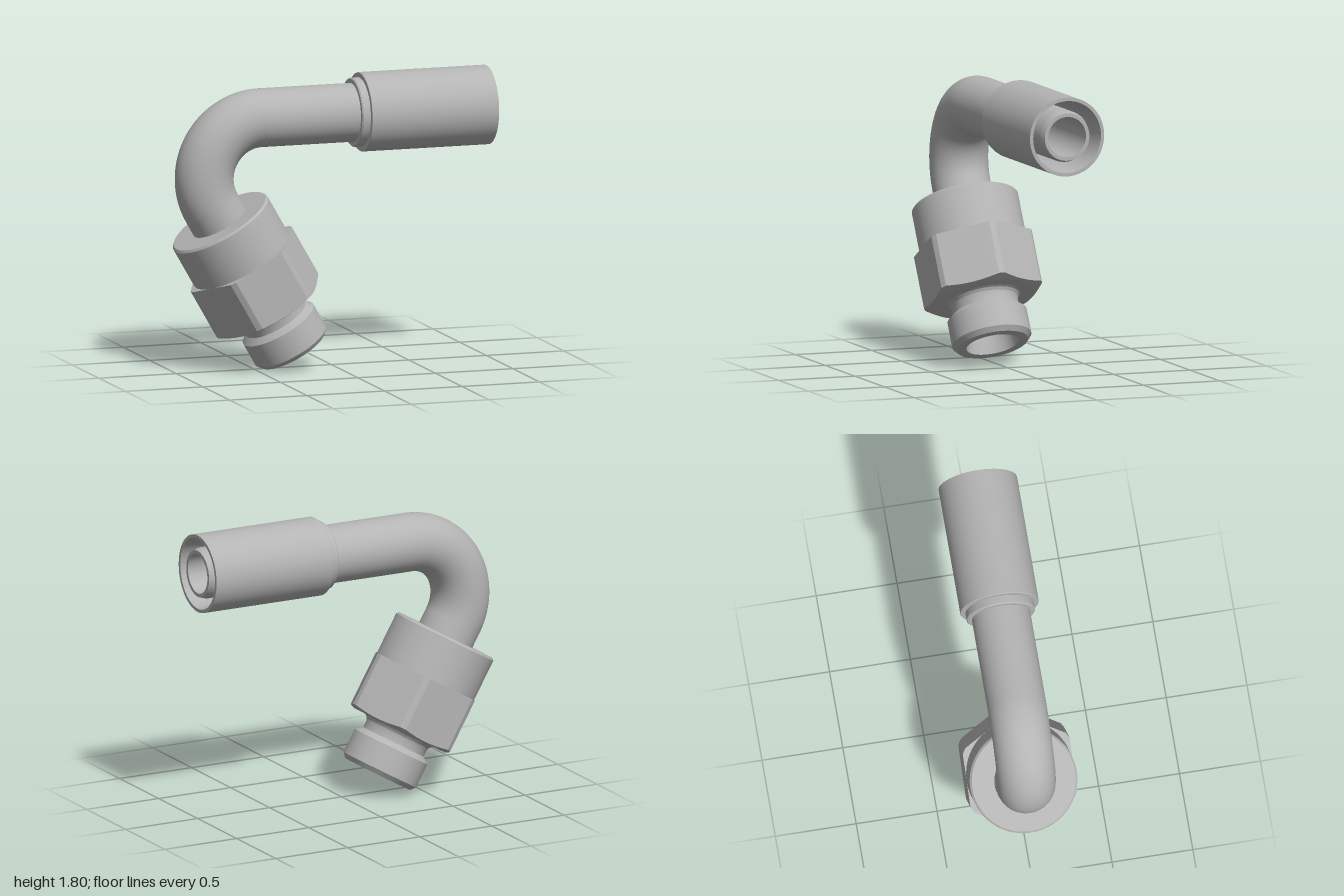
import * as THREE from 'three';
import { toCreasedNormals } from 'three/addons/utils/BufferGeometryUtils.js';

export function createModel() {
  const model = new THREE.Group();
  const steel = new THREE.MeshStandardMaterial({ color: 0xb4b4b4, side: THREE.DoubleSide });
  steel.name = 'steel';

  const add = (parent, name, geometry) => {
    const mesh = new THREE.Mesh(geometry, steel);
    mesh.name = name;
    parent.add(mesh);
    return mesh;
  };
  // Profile points are [radius, distance along axis]
  const lathe = (profile, segments = 72) =>
    new THREE.LatheGeometry(profile.map(p => new THREE.Vector2(p[0], p[1])), segments);
  const turned = (parent, name, profile) =>
    add(parent, name, toCreasedNormals(lathe(profile), 0.3));

  const PIPE = 0.18, BORE = 0.124, BEND = 0.36, AXIS_Y = 1.562, BEND_X = -0.46;

  // Hose end: local y runs along +x
  const hoseEnd = new THREE.Group();
  hoseEnd.name = 'hoseEnd';
  hoseEnd.position.y = AXIS_Y;
  hoseEnd.rotation.z = -Math.PI / 2;
  model.add(hoseEnd);
  turned(hoseEnd, 'straightPipe', [[PIPE, BEND_X], [PIPE, 0.14]]);
  turned(hoseEnd, 'sleeveCollar', [[PIPE, 0.13], [0.205, 0.13], [0.212, 0.137], [0.212, 0.185]]);
  turned(hoseEnd, 'crimpSleeve', [
    [0.2, 0.183], [0.24, 0.183], [0.243, 0.187], [0.243, 1],
    [0.222, 1], [0.205, 0.9], [0.205, 0.25], [0.15, 0.25],
  ]);
  turned(hoseEnd, 'innerNipple', [
    [0.158, 0.25], [0.158, 0.96], [0.146, 1], [BORE, 1], [BORE, BEND_X],
  ]);

  // Bend through 120 degrees, with its bore
  for (const [name, radius] of [['pipeBend', PIPE], ['bendBore', BORE]]) {
    const bend = add(model, name, new THREE.TorusGeometry(BEND, radius, 48, 64, Math.PI * 2 / 3));
    bend.position.set(BEND_X, AXIS_Y - BEND, 0);
    bend.rotation.z = Math.PI / 2;
  }

  // Threaded end: local y runs down the slanted axis from the end of the bend
  const nutEnd = new THREE.Group();
  nutEnd.name = 'threadedEnd';
  const a = Math.PI * 7 / 6;
  nutEnd.position.set(BEND_X + BEND * Math.cos(a), AXIS_Y - BEND + BEND * Math.sin(a), 0);
  nutEnd.rotation.z = a;
  model.add(nutEnd);
  turned(nutEnd, 'lowerPipe', [[PIPE, 0], [PIPE, 0.11]]);
  turned(nutEnd, 'nutCollar', [[PIPE, 0.1], [0.318, 0.1], [0.33, 0.113], [0.33, 0.382]]);

  // Hexagon with corners cut to a cylinder and a conical chamfer underneath
  const FLAT = 0.33, CORNER = 0.37, STEP = Math.PI / 3;
  const hex = lathe([[0.31, 0.38], [1, 0.38], [1, 0.72], [0.31, 0.745], [0.19, 0.745]], 120);
  const pos = hex.attributes.position;
  for (let i = 0; i < pos.count; i++) {
    const x = pos.getX(i), z = pos.getZ(i);
    if (Math.hypot(x, z) < 0.9) continue;
    const angle = Math.atan2(x, z);
    const off = angle - Math.round(angle / STEP) * STEP;
    const r = Math.min(FLAT / Math.cos(off), CORNER);
    const y = pos.getY(i) < 0.5 ? 0.38 : 0.745 - (r - 0.31) * 0.38;
    pos.setXYZ(i, r * Math.sin(angle), y, r * Math.cos(angle));
  }
  add(nutEnd, 'hexNut', toCreasedNormals(hex, 0.3));

  // Stub with undercut neck, chamfered head and tapered mouth
  turned(nutEnd, 'threadedStub', [
    [0.24, 0.743], [0.222, 0.752], [0.21, 0.768], [0.205, 0.785], [0.205, 0.825],
    [0.246, 0.858], [0.246, 1.015], [0.22, 1.045], [0.163, 1.045],
    [BORE, 0.85], [BORE, 0],
  ]);

  return model;
}
